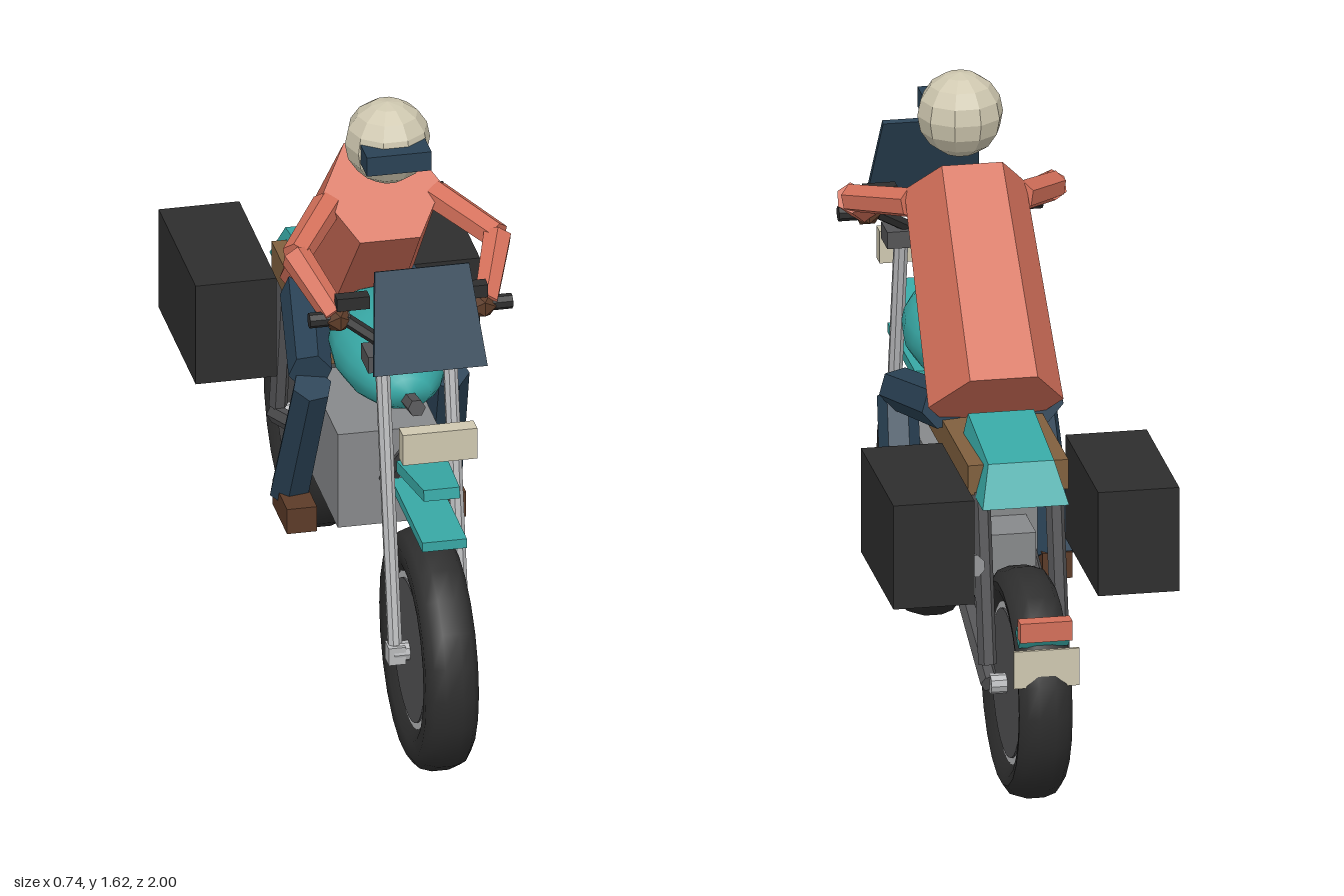
import * as THREE from 'three';
import { toCreasedNormals } from 'three/addons/utils/BufferGeometryUtils.js';

const paint = (name, color) => {
  const m = new THREE.MeshStandardMaterial({ color });
  m.name = name;
  return m;
};

export function createModel() {
  const model = new THREE.Group();
  model.name = 'motorcycleAndRider';

  const orange = paint('orange', 0xd4705a);
  const teal = paint('teal', 0x38a8a5);
  const navy = paint('navy', 0x2a4255);
  const black = paint('black', 0x2e2e2e);
  const darkGrey = paint('darkGrey', 0x545456);
  const grey = paint('grey', 0x87898b);
  const silver = paint('silver', 0xb9babc);
  const cream = paint('cream', 0xcfc8b0);
  const tan = paint('tan', 0x80603e);
  const brown = paint('brown', 0x5c3b28);

  const add = (name, geometry, material, x = 0, y = 0, z = 0) => {
    const mesh = new THREE.Mesh(geometry, material);
    mesh.name = name;
    mesh.position.set(x, y, z);
    model.add(mesh);
    return mesh;
  };
  const box = (name, material, w, h, d, x, y, z) =>
    add(name, new THREE.BoxGeometry(w, h, d), material, x, y, z);
  const flat = (geometry) => toCreasedNormals(geometry, 0.1);

  // Faceted bar from point a to point b
  const rod = (name, material, a, b, ra, rb = ra, sides = 6) => {
    const from = new THREE.Vector3(...a);
    const to = new THREE.Vector3(...b);
    const dir = to.clone().sub(from);
    const g = new THREE.CylinderGeometry(rb, ra, dir.length(), sides);
    g.rotateY(Math.PI / sides);
    const mesh = add(name, flat(g), material);
    mesh.position.copy(from).add(to).multiplyScalar(0.5);
    mesh.quaternion.setFromUnitVectors(new THREE.Vector3(0, 1, 0), dir.normalize());
    return mesh;
  };

  // Box whose vertices are moved by a rule
  const shaped = (name, material, w, h, d, rule, x, y, z) => {
    const g = new THREE.BoxGeometry(w, h, d);
    const p = g.attributes.position;
    const v = new THREE.Vector3();
    for (let i = 0; i < p.count; i++) {
      rule(v.fromBufferAttribute(p, i));
      p.setXYZ(i, v.x, v.y, v.z);
    }
    g.computeVertexNormals();
    return add(name, g, material, x, y, z);
  };

  // Wheels: tyre, bright rim ring, disc and hub
  const wheel = (name, r, y, z, rim) => {
    const half = [[rim, 0.045], [rim + 0.035, 0.066], [r - 0.035, 0.069], [r - 0.01, 0.052], [r, 0.022]];
    const profile = [
      ...half.map(([a, b]) => new THREE.Vector2(a, -b)),
      ...half.reverse().map(([a, b]) => new THREE.Vector2(a, b)),
    ];
    const tyre = new THREE.LatheGeometry(profile, 22);
    tyre.rotateZ(Math.PI / 2);
    add(name + 'Tyre', toCreasedNormals(tyre, 0.7), black, 0, y, z);
    const ring = new THREE.CylinderGeometry(rim + 0.004, rim + 0.004, 0.098, 32);
    add(name + 'Rim', toCreasedNormals(ring.rotateZ(Math.PI / 2), 0.5), silver, 0, y, z);
    const disc = new THREE.CylinderGeometry(rim - 0.013, rim - 0.013, 0.108, 32);
    add(name + 'Disc', toCreasedNormals(disc.rotateZ(Math.PI / 2), 0.5), darkGrey, 0, y, z);
    const hub = new THREE.CylinderGeometry(0.026, 0.026, 0.19, 10);
    add(name + 'Hub', flat(hub.rotateZ(Math.PI / 2)), silver, 0, y, z);
  };
  wheel('front', 0.313, 0.318, 0.69, 0.2);
  wheel('rear', 0.298, 0.303, -0.702, 0.205);

  // Frame, engine and exhaust
  rod('backbone', darkGrey, [0, 0.93, 0.545], [0, 0.75, -0.27], 0.023);
  rod('downTube', darkGrey, [0, 0.84, 0.55], [0, 0.53, 0.16], 0.023);
  box('engine', grey, 0.26, 0.265, 0.37, 0, 0.563, 0.013);
  box('gearbox', grey, 0.2, 0.17, 0.19, 0, 0.475, -0.215);
  rod('muffler', grey, [0.145, 0.415, 0.17], [0.155, 0.66, -0.8], 0.026, 0.03, 8);

  // Steering head, front bodywork and screen
  box('forkClamp', darkGrey, 0.265, 0.045, 0.085, 0, 1.08, 0.53);
  const beak = shaped('upperFender', teal, 0.13, 0.03, 0.245, (v) => {
    if (v.z > 0) v.x *= 0.72;
  }, 0, 0.815, 0.72);
  beak.rotation.x = -0.14;
  box('lowerFender', teal, 0.116, 0.026, 0.37, 0, 0.703, 0.69);
  box('headlight', cream, 0.194, 0.086, 0.045, 0, 0.957, 0.798);
  const screen = shaped('windscreen', navy, 0.296, 0.266, 0.014, (v) => {
    if (v.y > 0) v.x *= 0.83;
  }, 0, 1.238, 0.653);
  screen.rotation.x = -0.405;

  // Fuel tank
  const tankProfile = [[0, -0.27], [0.06, -0.255], [0.11, -0.18], [0.138, -0.08], [0.145, 0.01],
    [0.13, 0.11], [0.1, 0.19], [0.055, 0.26], [0, 0.268]].map(([r, l]) => new THREE.Vector2(r, l));
  const tank = new THREE.LatheGeometry(tankProfile, 20);
  tank.rotateX(Math.PI / 2);
  tank.scale(1, 0.775, 1);
  add('fuelTank', tank, teal, 0, 0.93, 0.2);

  // Seat and tail
  box('seat', tan, 0.26, 0.08, 0.55, 0, 0.815, -0.315);
  shaped('tailCowl', teal, 0.224, 0.13, 0.36, (v) => {
    if (v.y < 0) return;
    v.x *= 0.76;
    v.y = v.z > 0 ? 0.075 : 0.035;
    v.z = v.z > 0 ? 0.16 : -0.115;
  }, 0, 0.835, -0.515);
  const rearFender = box('rearFender', teal, 0.13, 0.025, 0.05, 0, 0.503, -0.918);
  rearFender.rotation.x = -0.6;
  box('tailLight', orange, 0.135, 0.052, 0.042, 0, 0.532, -0.951);
  box('rearPlate', cream, 0.17, 0.1, 0.009, 0, 0.435, -0.971);

  // Rider's torso and helmet
  rod('torso', orange, [0, 0.908, -0.288], [0, 1.347, 0.132], 0.175, 0.157);
  add('helmet', flat(new THREE.SphereGeometry(0.111, 10, 8)), cream, 0, 1.521, 0.195);
  box('visor', navy, 0.168, 0.053, 0.11, 0, 1.522, 0.28);

  // Paired parts
  for (const [side, s] of [['left', 1], ['right', -1]]) {
    // Fork and rear suspension
    rod(side + 'ForkLeg', silver, [s * 0.088, 0.31, 0.69], [s * 0.088, 1.09, 0.53], 0.019, 0.019, 8);
    box(side + 'AxleClamp', silver, 0.044, 0.048, 0.048, s * 0.088, 0.315, 0.69);
    rod(side + 'Swingarm', darkGrey, [s * 0.095, 0.48, -0.22], [s * 0.095, 0.303, -0.702], 0.024);
    rod(side + 'Shock', darkGrey, [s * 0.095, 0.345, -0.67], [s * 0.095, 0.78, -0.58], 0.024);

    // Handlebar, grip and control
    rod(side + 'Handlebar', black, [s * 0.05, 1.09, 0.53], [s * 0.18, 1.175, 0.47], 0.017);
    rod(side + 'Grip', black, [s * 0.16, 1.17, 0.467], [s * 0.264, 1.17, 0.467], 0.02, 0.02, 8);
    box(side + 'Control', black, 0.085, 0.035, 0.035, s * 0.154, 1.219, 0.478);

    // Luggage case
    box(side + 'Pannier', black, 0.21, 0.28, 0.44, s * 0.265, 0.71, -0.615);

    // Arm and glove
    const elbow = [s * 0.262, 1.272, 0.3];
    rod(side + 'UpperArm', orange, [s * 0.14, 1.315, 0.12], elbow, 0.04, 0.037);
    rod(side + 'Forearm', orange, elbow, [s * 0.195, 1.175, 0.47], 0.04, 0.034);
    add(side + 'Glove', flat(new THREE.IcosahedronGeometry(0.037, 0)), brown, s * 0.188, 1.168, 0.468);

    // Leg and boot
    rod(side + 'Thigh', navy, [s * 0.125, 0.89, -0.235], [s * 0.178, 0.825, 0.09], 0.06, 0.056);
    rod(side + 'Shin', navy, [s * 0.178, 0.8, 0.115], [s * 0.196, 0.41, -0.07], 0.052, 0.055);
    box(side + 'Boot', brown, 0.078, 0.07, 0.175, s * 0.194, 0.392, -0.022);
  }

  return model;
}
